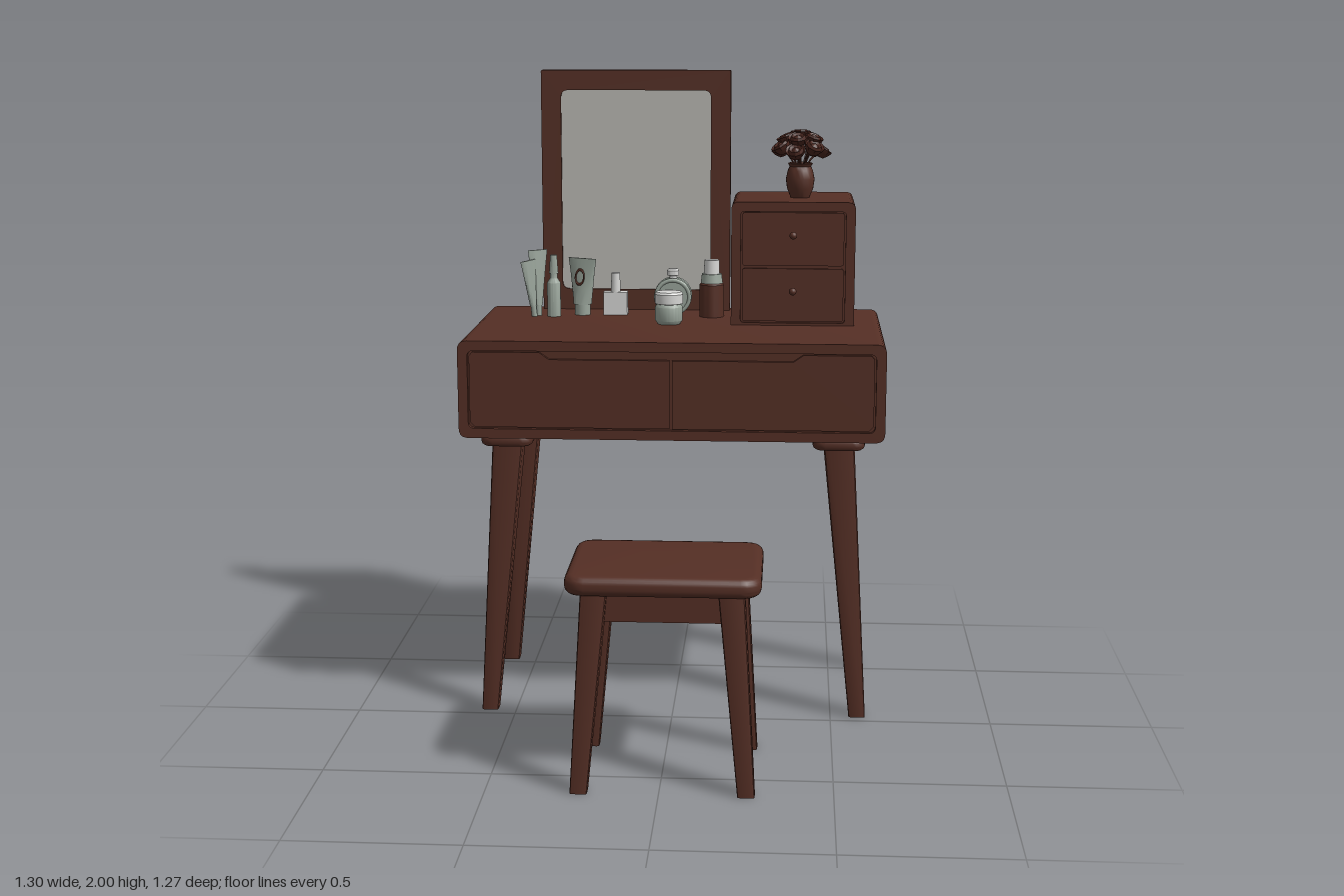
import * as THREE from 'three';
import { toCreasedNormals } from 'three/addons/utils/BufferGeometryUtils.js';

const mat = (name, color, side = THREE.FrontSide) => {
  const m = new THREE.MeshStandardMaterial({ color, side });
  m.name = name;
  return m;
};

export function createModel() {
  const root = new THREE.Group();
  root.name = 'vanityTableSet';
  const wood = mat('brown wood', 0x552f25);
  const bloom = mat('dark red brown', 0x4a261e, THREE.DoubleSide);
  const mirror = mat('mirror grey', 0xb9b8b3);
  const glass = mat('grey green', 0x9aa59b);
  const white = mat('off white', 0xd6d6d4);

  const add = (name, geo, material, x = 0, y = 0, z = 0, parent = root) => {
    const m = new THREE.Mesh(geo, material);
    m.name = name;
    m.position.set(x, y, z);
    parent.add(m);
    return m;
  };
  const group = (name, x, y, z, turn = 0) => {
    const g = new THREE.Group();
    g.name = name;
    g.position.set(x, y, z);
    g.rotation.y = turn;
    root.add(g);
    return g;
  };

  // Rounded rectangle outline between two corners
  const trace = (s, x0, y0, x1, y1, r) => {
    s.moveTo(x0 + r, y0);
    s.lineTo(x1 - r, y0); s.quadraticCurveTo(x1, y0, x1, y0 + r);
    s.lineTo(x1, y1 - r); s.quadraticCurveTo(x1, y1, x1 - r, y1);
    s.lineTo(x0 + r, y1); s.quadraticCurveTo(x0, y1, x0, y1 - r);
    s.lineTo(x0, y0 + r); s.quadraticCurveTo(x0, y0, x0 + r, y0);
    return s;
  };
  const rr = (x0, y0, x1, y1, r) => trace(new THREE.Shape(), x0, y0, x1, y1, r);
  const extrude = (shape, depth, opts = {}) => toCreasedNormals(new THREE.ExtrudeGeometry(shape,
    { depth, bevelEnabled: false, curveSegments: 5, ...opts }), 0.6);
  const framed = (x0, y0, x1, y1, r, inset, ri) => {
    const s = rr(x0, y0, x1, y1, r);
    s.holes.push(trace(new THREE.Path(), x0 + inset, y0 + inset, x1 - inset, y1 - inset, ri));
    return s;
  };

  // Tapered leg between a bottom and a top point, with softened corners
  const leg = (name, bottom, top, w0, w1) => {
    const geo = new THREE.ExtrudeGeometry(rr(-0.5, -0.5, 0.5, 0.5, 0.16),
      { depth: 1, bevelEnabled: false, curveSegments: 2 });
    geo.rotateX(-Math.PI / 2);
    const p = geo.attributes.position;
    for (let i = 0; i < p.count; i++) {
      const t = p.getY(i), w = w0 + (w1 - w0) * t;
      p.setXYZ(i, bottom[0] + (top[0] - bottom[0]) * t + p.getX(i) * w,
        bottom[1] + (top[1] - bottom[1]) * t,
        bottom[2] + (top[2] - bottom[2]) * t + p.getZ(i) * w);
    }
    add(name, toCreasedNormals(geo, 0.6), wood);
  };

  // Table body with recessed drawer fronts
  add('tableBody', extrude(rr(-0.65, 0.91, 0.65, 1.212, 0.03), 0.68), wood, 0, 0, -0.635);
  add('tableFrontFrame', extrude(framed(-0.65, 0.91, 0.65, 1.212, 0.03, 0.03, 0.02), 0.015), wood, 0, 0, 0.045);
  const drawer = new THREE.Shape([[0.004, 0.945], [0.6, 0.945], [0.615, 0.96], [0.615, 1.165], [0.605, 1.177],
    [0.4, 1.177], [0.37, 1.156], [0.004, 1.156]].map(([x, y]) => new THREE.Vector2(x, y)));
  for (const s of [1, -1]) {
    add(s > 0 ? 'leftDrawer' : 'rightDrawer', extrude(drawer, 0.012), wood, 0, 0, 0.045).scale.x = s;
    // Table legs and their mounting blocks
    for (const [zc, zt, zb] of [[-0.07, -0.073, -0.057], [-0.485, -0.5, -0.55]]) {
      leg('tableLeg', [s * 0.584, 0, zb], [s * 0.513, 0.885, zt], 0.052, 0.096);
      const block = extrude(rr(-0.06, -0.07, 0.06, 0.07, 0.02), 0.012,
        { bevelEnabled: true, bevelSize: 0.02, bevelThickness: 0.014, bevelSegments: 3 });
      block.rotateX(-Math.PI / 2);
      add('legBlock', block, wood, s * 0.512, 0.886, zc);
    }
  }

  // Small cabinet with two drawers and knobs
  add('cabinetBody', extrude(rr(0.17, 1.19, 0.56, 1.603, 0.025), 0.34), wood, 0, 0, -0.635);
  add('cabinetFrame', extrude(framed(0.17, 1.19, 0.56, 1.603, 0.025, 0.03, 0.012), 0.01), wood, 0, 0, -0.295);
  for (const y of [1.225, 1.402]) {
    add('cabinetDrawer', extrude(rr(0.205, y, 0.525, y + 0.168, 0.01), 0.008), wood, 0, 0, -0.295);
    const k = y + 0.098;
    add('knobStem', new THREE.CylinderGeometry(0.005, 0.005, 0.02, 10), wood, 0.365, k, -0.28).rotation.x = Math.PI / 2;
    add('knob', new THREE.SphereGeometry(0.012, 14, 10), wood, 0.365, k, -0.267);
  }

  // Mirror: frame with glass visible on both sides
  const frame = rr(-0.465, 1.2, 0.157, 2, 0.006);
  frame.holes.push(trace(new THREE.Path(), -0.4, 1.28, 0.092, 1.935, 0.025));
  add('mirrorFrame', extrude(frame, 0.036), wood, 0, 0, -0.622);
  add('mirrorGlass', new THREE.BoxGeometry(0.5, 0.663, 0.022), mirror, -0.154, 1.6075, -0.604);

  // Stool: seat, apron and splayed legs
  const seat = extrude(rr(-0.255, -0.187, 0.255, 0.187, 0.035), 0.014,
    { bevelEnabled: true, bevelSize: 0.024, bevelThickness: 0.022, bevelSegments: 4 });
  seat.rotateX(-Math.PI / 2);
  add('stoolSeat', seat, wood, 0.01, 0.607, 0.425);
  for (const s of [1, -1]) {
    add('stoolApronLong', new THREE.BoxGeometry(0.36, 0.09, 0.025), wood, 0.01, 0.545, 0.425 + s * 0.145);
    add('stoolApronShort', new THREE.BoxGeometry(0.025, 0.09, 0.28), wood, 0.01 + s * 0.185, 0.545, 0.425);
    for (const t of [1, -1])
      leg('stoolLeg', [0.01 + s * 0.24, 0, 0.425 + t * 0.186], [0.01 + s * 0.195, 0.59, 0.425 + t * 0.152], 0.05, 0.075);
  }

  // Turned shapes
  const lathe = (pts, n = 24) => toCreasedNormals(
    new THREE.LatheGeometry(pts.map(([r, y]) => new THREE.Vector2(r, y)), n), 0.6);

  // Vase with a round bouquet
  const vase = group('vase', 0.385, 1.602, -0.45);
  add('vaseBody', lathe([[0, 0], [0.03, 0], [0.042, 0.03], [0.046, 0.06], [0.04, 0.088], [0.034, 0.1],
    [0.04, 0.11], [0.034, 0.112], [0.028, 0.09], [0, 0.085]]), wood, 0, 0, 0, vase);
  const cup = lathe([[0, -0.022], [0.018, -0.018], [0.03, 0], [0.033, 0.012], [0.026, 0.006], [0.02, 0.016], [0.012, 0.01], [0, 0.018]], 9);
  const heads = [[0, 0.2, 0]];
  for (let i = 0; i < 5; i++) heads.push([0.043 * Math.cos(i * 1.257 + 0.5), 0.187, 0.05 * Math.sin(i * 1.257 + 0.5)]);
  for (let i = 0; i < 7; i++) heads.push([0.066 * Math.cos(i * 0.898), 0.15 + 0.012 * (i % 2), 0.075 * Math.sin(i * 0.898)]);
  for (const [x, y, z] of heads) {
    const curve = new THREE.QuadraticBezierCurve3(new THREE.Vector3(x * 0.2, 0.08, z * 0.2),
      new THREE.Vector3(x * 0.4, 0.13, z * 0.4), new THREE.Vector3(x, y, z));
    add('flowerStem', new THREE.TubeGeometry(curve, 6, 0.003, 5), bloom, 0, 0, 0, vase);
    const f = add('flower', cup, bloom, x, y, z, vase);
    f.rotation.set(z * 9, 0, -x * 9);
  }

  // Squeeze tube: round cap below, body flattening to a wide seam on top
  const squeeze = (name, x, z, turn, h, r, w, lean = 0) => {
    const g = group(name, x, 1.212, z, turn);
    g.rotation.z = lean;
    const body = new THREE.CylinderGeometry(1, 1, h, 20, 3);
    const p = body.attributes.position;
    for (let i = 0; i < p.count; i++) {
      const t = p.getY(i) / h + 0.5;
      p.setX(i, p.getX(i) * (r + (w - r) * t));
      p.setZ(i, p.getZ(i) * (r + (0.004 - r) * t));
    }
    add('tubeBody', toCreasedNormals(body, 0.6), glass, 0, 0.035 + h / 2, 0, g);
    add('tubeCap', new THREE.CylinderGeometry(r * 0.85, r * 0.85, 0.035, 20), glass, 0, 0.0175, 0, g);
    return g;
  };
  squeeze('slimTube', -0.465, -0.445, 0.64, 0.18, 0.014, 0.036);
  squeeze('leaningTube', -0.475, -0.425, 0.64, 0.15, 0.011, 0.028, 0.12);
  const wide = squeeze('wideTube', -0.322, -0.475, -0.45, 0.15, 0.03, 0.053);
  const emblem = add('tubeOval', new THREE.TorusGeometry(0.016, 0.003, 6, 24), wood, 0, 0.125, 0.018, wide);
  emblem.scale.y = 1.5;
  emblem.rotation.x = -0.17;

  // Slim bottle
  add('slimBottle', lathe([[0, 0], [0.022, 0], [0.022, 0.11], [0.012, 0.125], [0.012, 0.14], [0.015, 0.14],
    [0.011, 0.2], [0, 0.202]], 18), glass, -0.412, 1.212, -0.435);

  // Square bottle with a narrow cap
  const square = group('squareBottle', -0.214, 1.212, -0.486);
  add('squareBottleBody', new THREE.BoxGeometry(0.078, 0.075, 0.04), white, 0, 0.0375, 0, square);
  add('squareBottleCap', new THREE.CylinderGeometry(0.014, 0.016, 0.062, 16), white, 0, 0.106, 0, square);

  // Round flask with foot, rim ring and stopper
  const flask = group('roundFlask', -0.023, 1.212, -0.443);
  const disc = new THREE.CylinderGeometry(0.058, 0.058, 0.05, 28);
  disc.rotateX(Math.PI / 2);
  add('flaskBody', toCreasedNormals(disc, 0.6), glass, 0, 0.068, 0, flask);
  for (const s of [1, -1])
    add('flaskRing', new THREE.TorusGeometry(0.054, 0.007, 8, 28), glass, 0, 0.068, s * 0.022, flask);
  add('flaskFoot', new THREE.BoxGeometry(0.06, 0.014, 0.05), glass, 0, 0.007, 0, flask);
  add('flaskStopper', lathe([[0.012, 0.12], [0.012, 0.135], [0.02, 0.137], [0.02, 0.152], [0.014, 0.158], [0, 0.16]], 18),
    white, 0, 0, 0, flask);

  // Dark bottle with a pale cap
  const pump = group('darkBottle', 0.102, 1.212, -0.462);
  add('darkBottleBody', lathe([[0, 0], [0.04, 0], [0.04, 0.105], [0.03, 0.115], [0, 0.115]]), wood, 0, 0, 0, pump);
  add('darkBottleCollar', new THREE.CylinderGeometry(0.032, 0.036, 0.03, 24), glass, 0, 0.125, 0, pump);
  add('darkBottleCap', new THREE.CylinderGeometry(0.024, 0.026, 0.05, 24), white, 0, 0.16, 0, pump);

  // Cream jar with a domed lid
  const jar = group('creamJar', -0.028, 1.212, -0.303);
  add('jarBody', lathe([[0, 0], [0.036, 0], [0.044, 0.012], [0.044, 0.055], [0.038, 0.064], [0, 0.064]]), glass, 0, 0, 0, jar);
  add('jarLid', lathe([[0.038, 0.064], [0.045, 0.066], [0.045, 0.096], [0.04, 0.103], [0, 0.108]]), white, 0, 0, 0, jar);

  return root;
}
